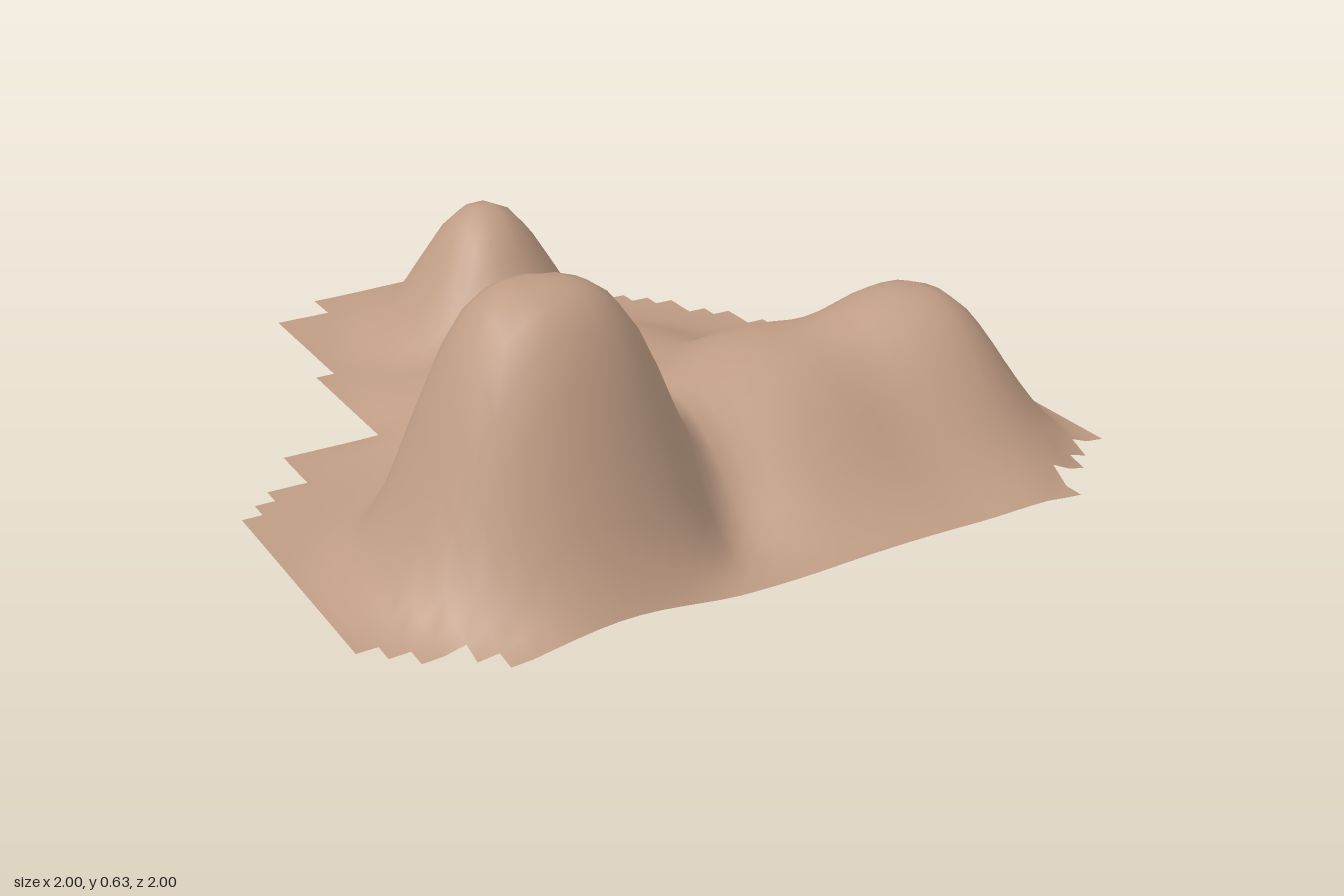
import * as THREE from 'three';

const CELL = 0.05, COUNT = 40;

// Stepped outline: [row ends at this z, edge x]
const LEFT = [[-0.9, -0.35], [-0.5, -0.5], [-0.1, -0.55], [0.05, -0.85], [0.1, -0.9], [0.15, -0.95],
  [0.8, -1], [0.85, -0.95], [0.9, -0.9], [0.95, -0.8], [1, -0.75]];
LEFT[3][1] = -0.8;
const RIGHT = [[-0.85, 0.25], [-0.75, 0.3], [-0.7, 0.35], [-0.6, 0.4], [-0.55, 0.45], [-0.5, 0.5],
  [-0.4, 0.55], [-0.35, 0.6], [-0.25, 0.65], [-0.2, 0.7], [-0.15, 0.75], [-0.05, 0.8], [0, 0.85],
  [0.1, 0.9], [0.15, 0.95], [0.8, 1], [0.85, 0.9], [0.9, 0.85], [1, 0.75]];
const edgeAt = (steps, z) => steps.find(([end]) => z < end + 1e-6)[1];

// Hills: centre, height, spread to -x, +x, -z, +z, and how flat the top is
const HILLS = [
  { x: -0.47, z: 0.6, h: 0.635, s: [0.317, 0.35, 0.29, 0.29], p: 3.4 },  // tall peak
  { x: 0.63, z: 0.5, h: 0.37, s: [0.32, 0.245, 0.33, 0.31], p: 2.6 },    // side peak
  { x: -0.02, z: -0.55, h: 0.38, s: [0.22, 0.22, 0.25, 0.24], p: 2.4 },  // rear peak
  { x: 0.27, z: 0.47, h: 0.3, s: [0.42, 0.42, 0.42, 0.34], p: 2.6 },     // ridge between peaks
  { x: -0.1, z: 0.42, h: 0.22, s: [0.4, 0.3, 0.36, 0.34], p: 2.4 },      // shoulder of the tall peak
  { x: 0.02, z: 0.0, h: 0.165, s: [0.46, 0.4, 0.4, 0.36], p: 2.6 },      // saddle to the rear
];

function hillHeight({ x: cx, z: cz, h, s, p }, x, z) {
  const dx = (x - cx) / (x < cx ? s[0] : s[1]);
  const dz = (z - cz) / (z < cz ? s[2] : s[3]);
  return h * Math.exp(-Math.pow(Math.hypot(dx, dz), p));
}

// Hills blend into one surface, with a gully in the front slope, and level out at the side edges
function heightAt(x, z) {
  const sum = HILLS.reduce((t, hill) => t + Math.pow(hillHeight(hill, x, z), 4), 0);
  const gully = 0.7 * Math.exp(-(((x + 0.08) / 0.1) ** 2) - ((z - 0.88) / 0.14) ** 2);
  const inset = Math.min(x - edgeAt(LEFT, z), edgeAt(RIGHT, z) - x);
  return Math.pow(sum, 0.25) * (1 - gully) * THREE.MathUtils.smoothstep(inset, -0.02, 0.12);
}

function terrainGeometry() {
  const positions = [], index = [], ids = new Map();
  const vertex = (i, j) => {
    const key = j * (COUNT + 1) + i;
    if (!ids.has(key)) {
      const x = -1 + i * CELL, z = -1 + j * CELL;
      ids.set(key, positions.length / 3);
      positions.push(x, heightAt(x, z), z);
    }
    return ids.get(key);
  };
  for (let j = 0; j < COUNT; j++) {
    const zMid = -1 + (j + 0.5) * CELL;
    const left = edgeAt(LEFT, zMid), right = edgeAt(RIGHT, zMid);
    for (let i = 0; i < COUNT; i++) {
      const xMid = -1 + (i + 0.5) * CELL;
      if (xMid < left || xMid > right) continue;
      const a = vertex(i, j), b = vertex(i + 1, j), c = vertex(i + 1, j + 1), d = vertex(i, j + 1);
      index.push(a, d, b, b, d, c);
    }
  }
  const geometry = new THREE.BufferGeometry();
  geometry.setAttribute('position', new THREE.Float32BufferAttribute(positions, 3));
  geometry.setIndex(index);
  geometry.computeVertexNormals();
  return geometry;
}

export function createModel() {
  const group = new THREE.Group();
  group.name = 'hillyTerrain';
  const material = new THREE.MeshStandardMaterial({ color: 0xbf9c84, side: THREE.DoubleSide });
  const ground = new THREE.Mesh(terrainGeometry(), material);
  ground.name = 'ground';
  group.add(ground);
  return group;
}
